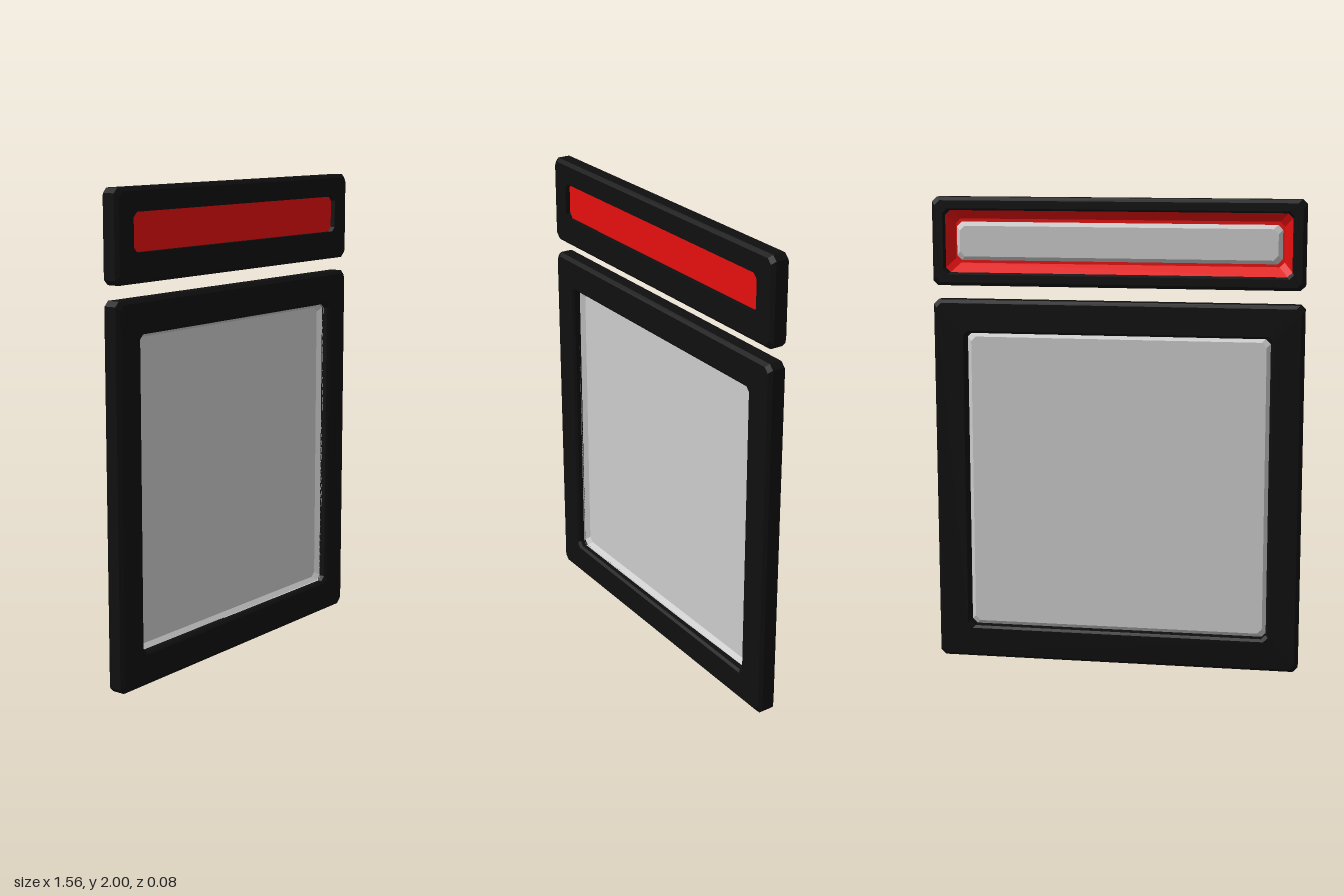
import * as THREE from 'three';

const material = (color) => new THREE.MeshStandardMaterial({ color, flatShading: true, side: THREE.DoubleSide });

// Rectangle outline with cut corners, counter-clockwise seen from the front
function outline([hw, hh, cy, z, cut = 0.02]) {
  const a = hw - cut, b = hh - cut;
  return [[hw, -b], [hw, b], [a, hh], [-a, hh], [-hw, b], [-hw, -b], [-a, -hh], [a, -hh]]
    .map(([x, y]) => [x, y + cy, z]);
}

// Skin through outlines given as [halfWidth, halfHeight, centreY, z, cornerCut]
function loft(name, color, rings, cap) {
  const loops = rings.map(outline), pos = [], index = [], n = 8;
  loops.forEach((loop) => loop.forEach((p) => pos.push(...p)));
  for (let r = 0; r < loops.length - 1; r++) {
    for (let i = 0; i < n; i++) {
      const j = (i + 1) % n, a = r * n, b = a + n;
      index.push(a + i, a + j, b + j, a + i, b + j, b + i);
    }
  }
  if (cap) {
    const last = (loops.length - 1) * n;
    for (let i = 1; i < n - 1; i++) index.push(last, last + i, last + i + 1);
  }
  const geometry = new THREE.BufferGeometry();
  geometry.setAttribute('position', new THREE.Float32BufferAttribute(pos, 3));
  geometry.setIndex(index);
  const flat = geometry.toNonIndexed();
  flat.computeVertexNormals();
  const mesh = new THREE.Mesh(flat, material(color));
  mesh.name = name;
  return mesh;
}

// Bevelled outside of a frame, from back to front
const outer = (hw, hh, cy, c = 0.014, d = 0.041) => [
  [hw - c, hh - c, cy, -d], [hw, hh, cy, -d + c],
  [hw, hh, cy, d - c], [hw - c, hh - c, cy, d],
];

export function createModel() {
  const group = new THREE.Group();
  const BLACK = 0x0f0f0f, RED = 0xe60f0f, GREY = 0xcccccc;

  // Large square frame with its dished panel
  const main = new THREE.Group();
  main.name = 'mainPanel';
  const mainY = 0.785, mainOuter = outer(0.782, 0.785, mainY);
  main.add(
    loft('mainFrame', BLACK, [
      ...mainOuter,
      [0.655, 0.655, mainY, 0.041], [0.645, 0.645, mainY, 0.031],
      [0.645, 0.645, mainY, -0.031], [0.655, 0.655, mainY, -0.041],
      mainOuter[0],
    ]),
    loft('mainSheet', GREY, [
      [0.645, 0.645, mainY, 0.012], [0.645, 0.645, mainY, 0.005], [0.627, 0.627, mainY, -0.012],
    ], true),
  );

  // Narrow header frame: small opening in front, wide one behind
  const header = new THREE.Group();
  header.name = 'headerPanel';
  const headY = 1.815, openY = 1.828, headOuter = outer(0.782, 0.185, headY);
  header.add(
    loft('headerFrame', BLACK, [
      ...headOuter,
      [0.685, 0.078, openY, 0.041], [0.685, 0.078, openY, 0.02],
      [0.727, 0.13, headY, 0.019], [0.727, 0.13, headY, -0.028],
      [0.735, 0.138, headY, -0.041], headOuter[0],
    ]),
    // Red tray that fills the front opening
    loft('headerTray', RED, [
      [0.727, 0.13, headY, -0.024], [0.692, 0.093, headY, 0.018],
    ], true),
    // Grey raised sheet on the back of the tray
    loft('headerSheet', GREY, [
      [0.684, 0.08, headY, 0.016], [0.684, 0.08, headY, 0.003], [0.668, 0.064, headY, -0.012],
    ], true),
  );

  group.add(main, header);
  return group;
}
